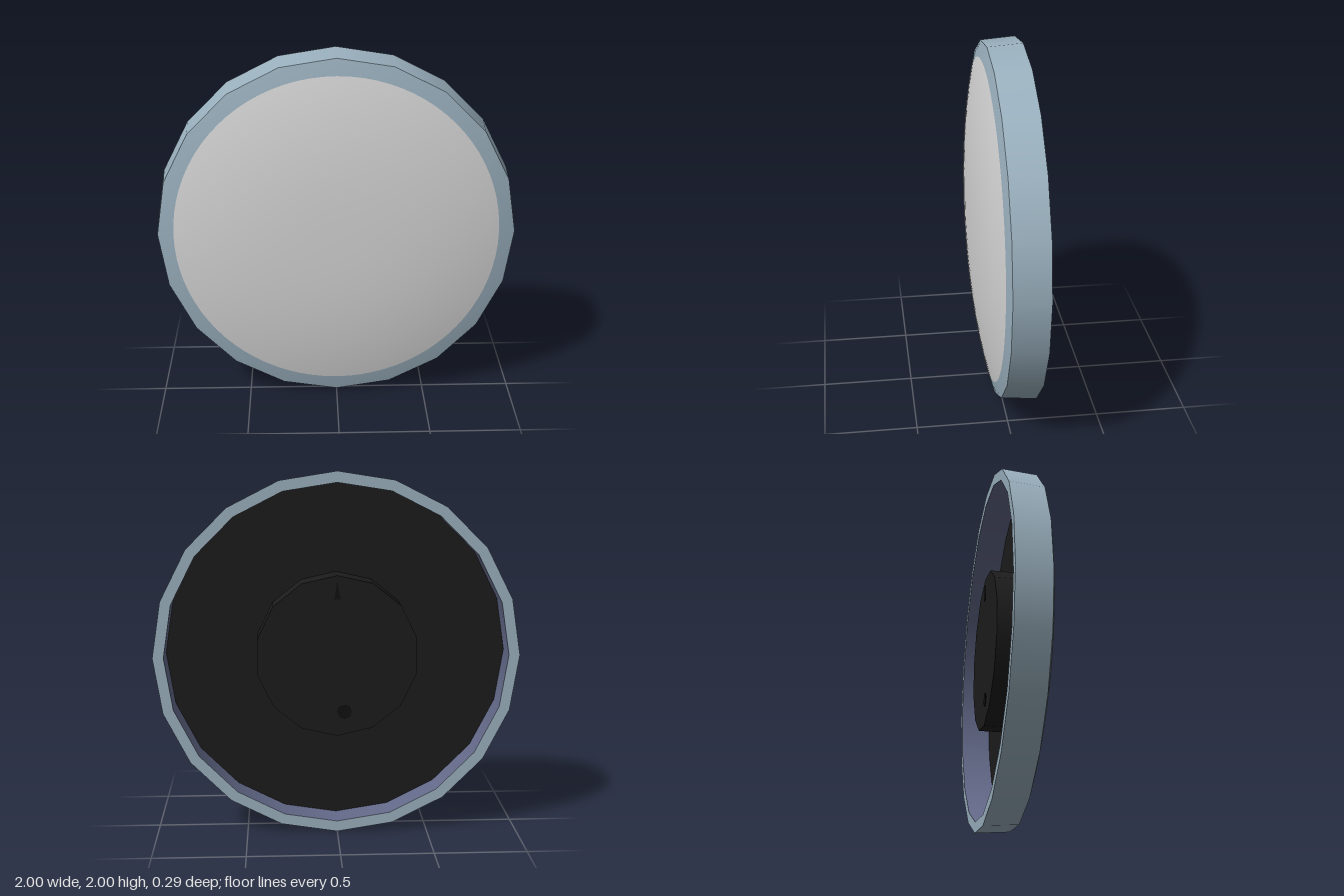
import * as THREE from 'three';

const SIDES = 20;        // coarse rim polygon
const FINE = 80;         // round boundary of the lens
const BACK = -0.145, FLOOR = 0.02, EDGE = 0.985, LENS = 0.895;

const domeZ = r => 0.146 - 0.1 * Math.pow(r / EDGE, 2.5);

export function createModel() {
  const group = new THREE.Group();
  const mat = (name, color) => {
    const m = new THREE.MeshStandardMaterial({ color });
    m.name = name;
    return m;
  };
  const rimMat = mat('blue grey rim', 0x9ab0be);
  const lensMat = mat('pale lens', 0xd6d6d6);
  const wallMat = mat('slate inner wall', 0x646a8a);
  const blackMat = mat('black back', 0x1c1c1c);
  const holeMat = mat('dark slots', 0x101010);

  const add = (name, geometry, material) => {
    const mesh = new THREE.Mesh(geometry, material);
    mesh.name = name;
    mesh.position.y = 1;
    group.add(mesh);
    return mesh;
  };
  // Lathe around the z axis from [radius, z] pairs
  const turned = (points, sides) =>
    new THREE.LatheGeometry(points.map(p => new THREE.Vector2(...p)), sides).rotateX(Math.PI / 2);

  // Domed front: analytic normals keep lens and border continuous
  const dome = (r0, r1, steps) => {
    const points = [];
    for (let i = 0; i <= steps; i++) {
      const r = r0 + (r1 - r0) * i / steps;
      points.push([r, domeZ(r)]);
    }
    const g = turned(points, FINE);
    const pos = g.attributes.position, nor = g.attributes.normal;
    const n = new THREE.Vector3();
    const step = 2 * Math.PI / SIDES;
    for (let i = 0; i < pos.count; i++) {
      const x = pos.getX(i), y = pos.getY(i), r = Math.hypot(x, y);
      const slope = 0.25 / EDGE * Math.pow(r / EDGE, 1.5);
      n.set(r ? x / r * slope : 0, r ? y / r * slope : 0, 1).normalize();
      nor.setXYZ(i, n.x, n.y, n.z);
      // Pull the outermost ring onto the rim polygon
      if (r > EDGE - 0.001) {
        const a = Math.atan2(x, -y) + 2 * Math.PI;
        const k = Math.cos(step / 2) / Math.cos(a % step - step / 2);
        pos.setXY(i, x * k, y * k);
      }
    }
    return g;
  };
  add('lens', dome(LENS, 0, 10), lensMat);
  add('frontBorder', dome(EDGE, LENS, 2), rimMat);

  // Rim and recessed back
  add('outerRim', turned([[1, BACK], [EDGE, domeZ(EDGE)]], SIDES), rimMat);
  add('backLip', turned([[0.94, BACK], [1, BACK]], SIDES), rimMat);
  add('innerWall', turned([[0.94, FLOOR], [0.94, BACK]], SIDES), wallMat);
  add('backPlate', turned([[0, FLOOR], [0.94, FLOOR]], SIDES), blackMat);

  // Mounting hub
  add('hubFace', turned([[0, BACK], [0.445, BACK]], 14), blackMat);
  add('hubSide', turned([[0.445, BACK], [0.445, FLOOR]], 14), blackMat);

  // Hanging slots on the hub: a narrow wedge above, a round hole below
  const wedge = new THREE.Shape([[-0.018, -0.045], [0.018, -0.045], [0, 0.045]]
    .map(p => new THREE.Vector2(...p)));
  const upper = add('upperSlot', new THREE.ExtrudeGeometry(wedge, { depth: 0.004, bevelEnabled: false }), holeMat);
  upper.position.set(0, 1.36, BACK - 0.003);
  const lower = add('lowerSlot', new THREE.CylinderGeometry(0.04, 0.04, 0.004, 8).rotateX(Math.PI / 2), holeMat);
  lower.position.set(-0.04, 0.69, BACK - 0.001);

  return group;
}
